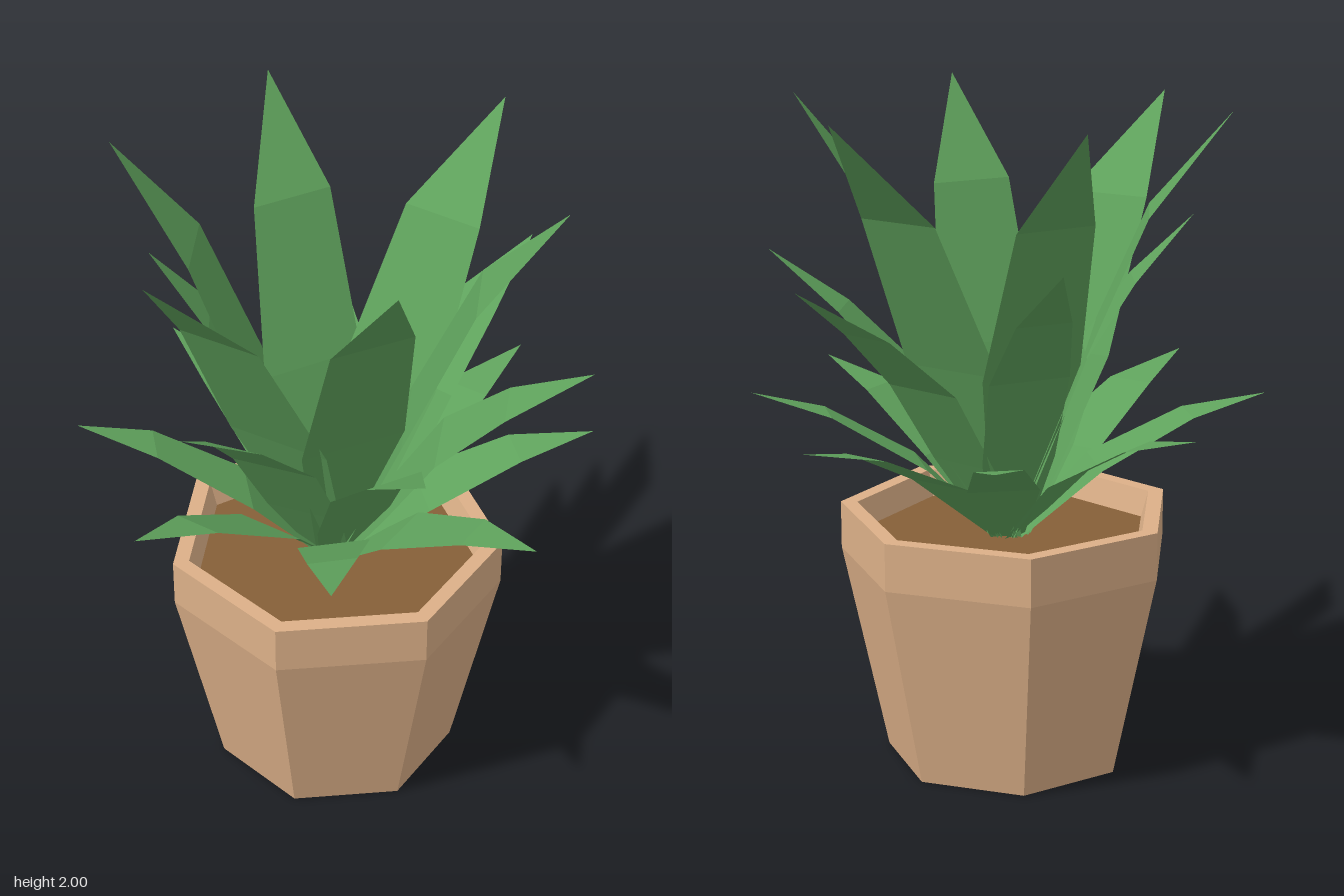
import * as THREE from 'three';

const material = (color) =>
  new THREE.MeshStandardMaterial({ color, flatShading: true, side: THREE.DoubleSide });

const SOIL_Y = 0.70;
const YAW = 0.21; // every blade is turned slightly about its own root

// Each ring of leaves: cross-sections [share of reach, share of height, half width]
// up to the last bend, then the tip of every leaf [x, height, z].
const RINGS = [
  {
    name: 'tallLeaf',
    rows: [[0.02, 0, 0.06], [0.33, 0.415, 0.16], [0.635, 0.77, 0.125]],
    tips: [[0.235, 2, 0.62], [0.65, 2, 0.14], [0.435, 2, -0.51],
      [-0.27, 2, -0.60], [-0.65, 2, -0.11], [-0.43, 1.96, 0.585]],
  },
  {
    name: 'middleLeaf',
    rows: [[0.03, 0, 0.06], [0.22, 0.29, 0.115], [0.42, 0.585, 0.125], [0.68, 0.805, 0.085]],
    tips: [[0.325, 1.50, 0.735], [0.745, 1.52, 0.18], [0.535, 1.54, -0.525],
      [-0.21, 1.62, -0.62], [-0.54, 1.69, -0.04], [-0.335, 1.55, 0.67]],
  },
  {
    name: 'lowLeaf',
    rows: [[0.04, 0, 0.05], [0.34, 0.51, 0.105], [0.7, 0.86, 0.07]],
    tips: [[0.08, 1.14, 0.765], [0.62, 1.12, 0.48], [0.755, 1.14, -0.09],
      [0.515, 1.10, -0.59], [-0.04, 1.11, -0.77], [-0.57, 1.14, -0.5],
      [-0.76, 1.14, 0.06], [-0.49, 1.14, 0.59]],
  },
];

// A flat blade bent across its length and ending in a point
function leafGeometry(rows, [tx, ty, tz]) {
  const reach = Math.hypot(tx, tz);
  const dx = tx / reach, dz = tz / reach;
  const sx = dz - YAW * dx, sz = -dx - YAW * dz; // direction across the blade
  const positions = [], index = [];
  rows.forEach(([r, h, w], i) => {
    const y = SOIL_Y + h * (ty - SOIL_Y);
    positions.push(tx * r + sx * w, y, tz * r + sz * w);
    positions.push(tx * r - sx * w, y, tz * r - sz * w);
    const a = i * 2;
    if (i < rows.length - 1) index.push(a, a + 2, a + 1, a + 1, a + 2, a + 3);
    else index.push(a, a + 2, a + 1);
  });
  positions.push(tx, ty, tz);
  const geometry = new THREE.BufferGeometry();
  geometry.setAttribute('position', new THREE.Float32BufferAttribute(positions, 3));
  geometry.setIndex(index);
  geometry.computeVertexNormals();
  return geometry;
}

export function createModel() {
  const model = new THREE.Group();
  model.name = 'pottedPlant';

  // Seven-sided pot, open underneath, with a straight rim
  const profile = [[0.37, 0], [0.508, 0.635], [0.508, 0.78], [0.458, 0.78], [0.435, SOIL_Y]]
    .map(([r, y]) => new THREE.Vector2(r, y));
  const pot = new THREE.Mesh(
    new THREE.LatheGeometry(profile, 7, Math.PI / 2), material(0xdcb088));
  pot.name = 'pot';
  pot.position.z = 0.01;
  model.add(pot);

  // Soil
  const soil = new THREE.Mesh(
    new THREE.CircleGeometry(0.437, 7).rotateX(-Math.PI / 2), material(0x866038));
  soil.name = 'soil';
  soil.position.set(0, SOIL_Y, 0.01);
  model.add(soil);

  // Three rings of leaves
  const green = material(0x5fa25c);
  const leaves = new THREE.Group();
  leaves.name = 'leaves';
  for (const { name, rows, tips } of RINGS) {
    for (const tip of tips) {
      const leaf = new THREE.Mesh(leafGeometry(rows, tip), green);
      leaf.name = name;
      leaves.add(leaf);
    }
  }
  model.add(leaves);
  return model;
}
